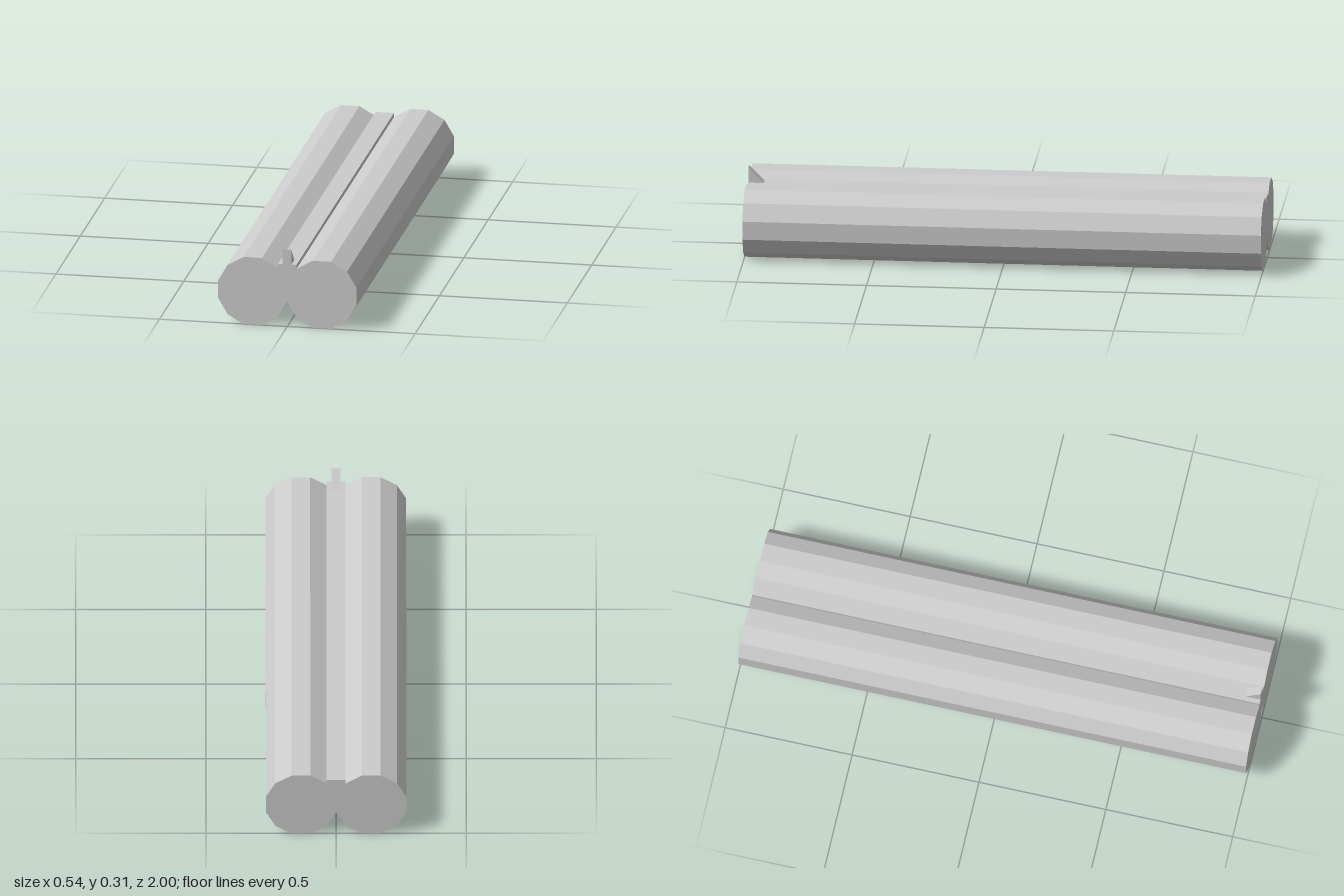
import * as THREE from 'three';

const LENGTH = 2;
const APOTHEM = 0.135; // half the width of a barrel across its flats
const SIDES = 12;

export function createModel() {
  const group = new THREE.Group();
  const material = new THREE.MeshStandardMaterial({ color: 0xcccccc, flatShading: true });

  const add = (name, geometry, x, y, z) => {
    const mesh = new THREE.Mesh(geometry, material);
    mesh.name = name;
    mesh.position.set(x, y, z);
    group.add(mesh);
  };

  // Two solid twelve-sided barrels, flats facing up and sideways
  const radius = APOTHEM / Math.cos(Math.PI / SIDES);
  const barrel = new THREE.CylinderGeometry(radius, radius, LENGTH, SIDES);
  barrel.rotateY(Math.PI / SIDES).rotateX(Math.PI / 2);
  add('leftBarrel', barrel, APOTHEM, APOTHEM, 0);
  add('rightBarrel', barrel, -APOTHEM, APOTHEM, 0);

  // Flat rib filling the groove between the barrels
  add('topRib', new THREE.BoxGeometry(0.072, 0.08, LENGTH), 0, 0.21, 0);

  // Wedge sight at the front: upright front face, slope towards the back
  const width = 0.034;
  const profile = new THREE.Shape([
    new THREE.Vector2(0, 0),
    new THREE.Vector2(0.06, 0),
    new THREE.Vector2(0, 0.06),
  ]);
  const sight = new THREE.ExtrudeGeometry(profile, { depth: width, bevelEnabled: false });
  sight.translate(0, 0, -width / 2).rotateY(Math.PI / 2);
  add('frontSight', sight, -0.001, 0.25, LENGTH / 2);

  return group;
}
